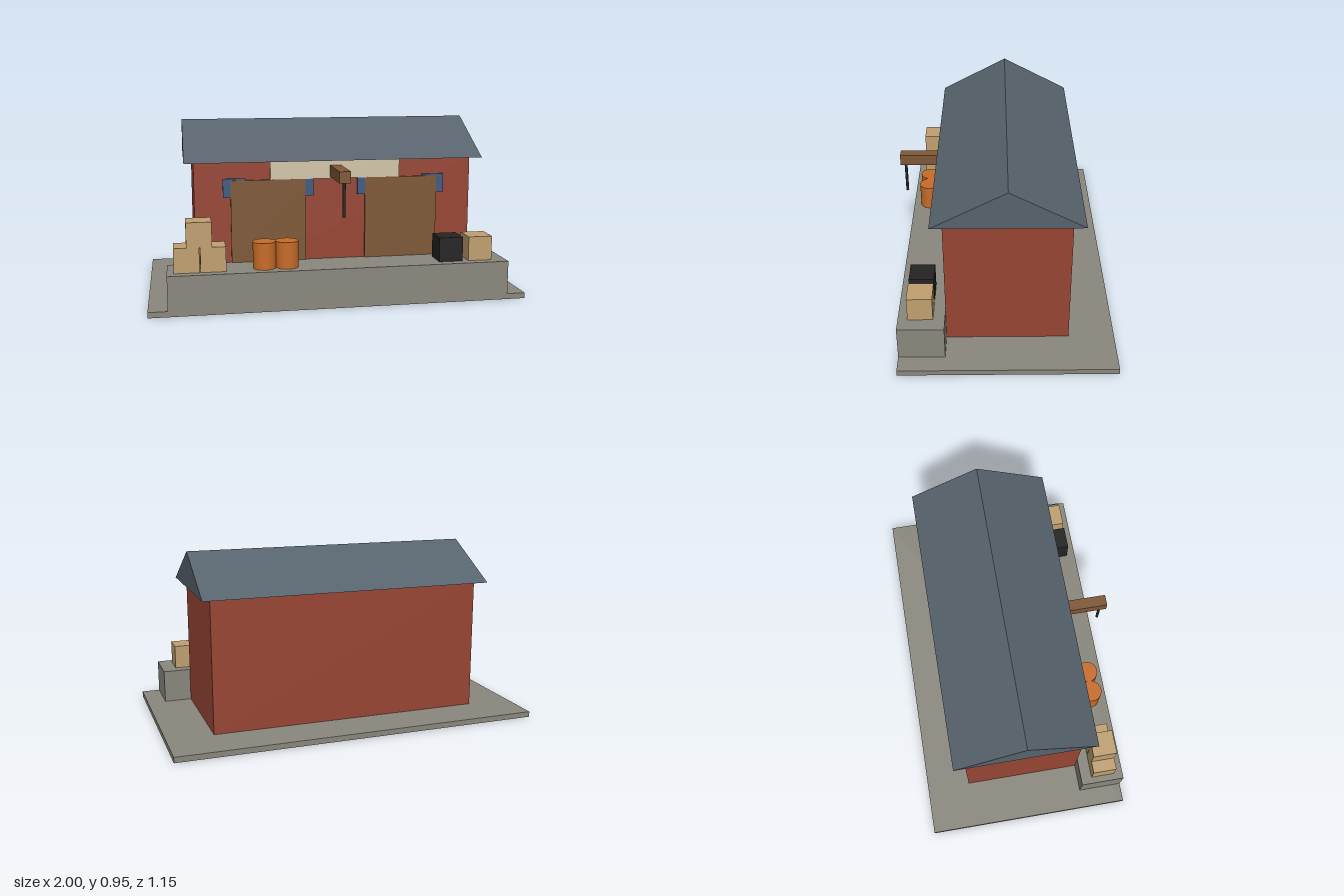
import * as THREE from 'three';

const mat = (color) => new THREE.MeshStandardMaterial({ color });
const materials = {
  concrete: mat(0x8a877d),
  brick: mat(0x984533),
  slate: mat(0x56626c),
  wood: mat(0x7f5836),
  crate: mat(0xc0a070),
  barrel: mat(0xc86c28),
  cream: mat(0xd2c5a8),
  blue: mat(0x3c5a82),
  black: mat(0x242424),
};

export function createModel() {
  const model = new THREE.Group();
  model.name = 'warehouse';

  const add = (name, geometry, material, x = 0, y = 0, z = 0) => {
    const mesh = new THREE.Mesh(geometry, materials[material]);
    mesh.name = name;
    mesh.position.set(x, y, z);
    model.add(mesh);
    return mesh;
  };
  // Box given by its centre in x and its limits in y and z
  const block = (name, material, x, width, y0, y1, z0, z1) =>
    add(name, new THREE.BoxGeometry(width, y1 - y0, z1 - z0), material, x, (y0 + y1) / 2, (z0 + z1) / 2);

  const wallFront = 0.305;
  const dockTop = 0.21;

  // Ground slab, loading dock and brick hall
  block('groundSlab', 'concrete', 0, 2, 0, 0.03, -0.575, 0.545);
  block('loadingDock', 'concrete', 0, 1.8, 0.03, dockTop, wallFront, 0.545);
  block('walls', 'brick', 0, 1.5, 0.03, 0.75, -0.335, wallFront);

  // Gable roof: triangular section extruded along x
  const gable = new THREE.Shape([
    new THREE.Vector2(-0.38, 0),
    new THREE.Vector2(0.38, 0),
    new THREE.Vector2(0, 0.2),
  ]);
  const roof = new THREE.ExtrudeGeometry(gable, { depth: 1.6, bevelEnabled: false });
  roof.translate(0, 0, -0.8).rotateY(Math.PI / 2);
  add('roof', roof, 'slate', 0, 0.75, -0.015);

  // Doors with a small blue window peeking out at each upper corner
  for (const side of [-1, 1]) {
    block('door', 'wood', side * 0.361, 0.398, dockTop, 0.65, wallFront - 0.005, 0.317);
    for (const x of [0.18, 0.54]) {
      block('window', 'blue', side * x, 0.12, 0.56, 0.66, wallFront - 0.005, 0.3145);
    }
  }
  block('signBoard', 'cream', 0, 0.7, 0.65, 0.75, wallFront - 0.005, 0.3165);

  // Hoist beam with its hanging rod
  block('hoistBeam', 'wood', 0, 0.06, 0.66, 0.72, wallFront, 0.575);
  add('hoistRod', new THREE.CylinderGeometry(0.008, 0.008, 0.18, 8), 'black', 0, 0.57, 0.548);

  // Goods on the dock
  const size = 0.13;
  const crates = [[-0.8, 0], [-0.665, 0], [-0.735, 1], [0.757, 0]];
  for (const [x, level] of crates) {
    const y = dockTop + level * size;
    block('crate', 'crate', x, size, y, y + size, 0.365, 0.495);
  }
  block('blackCrate', 'black', 0.595, size, dockTop, dockTop + size, 0.365, 0.495);
  for (const x of [-0.4, -0.282]) {
    add('barrel', new THREE.CylinderGeometry(0.06, 0.06, 0.14, 24), 'barrel', x, dockTop + 0.07, 0.445);
  }

  return model;
}
